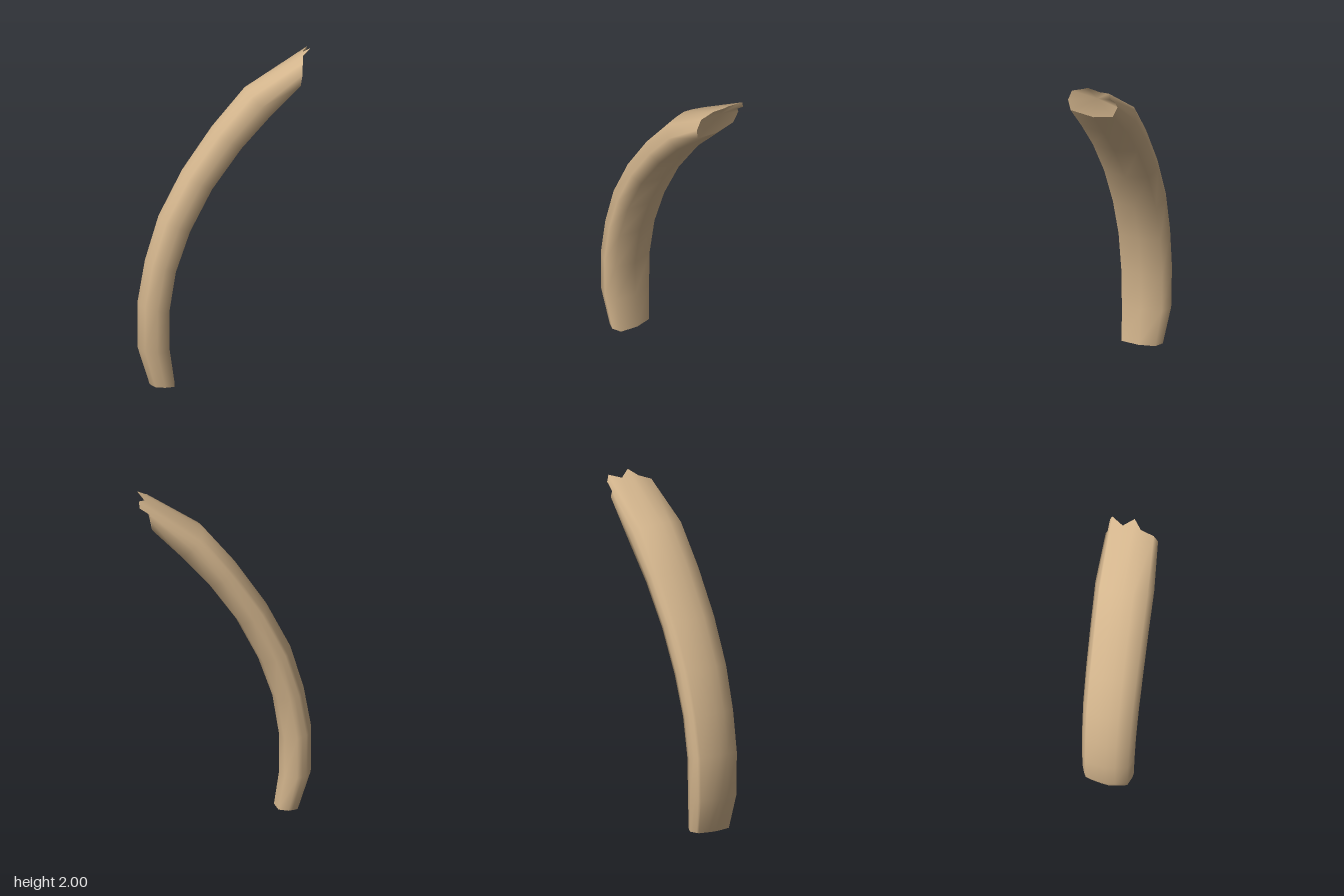
import * as THREE from 'three';

// Shaft stations: outer x, y, inner x, y, half width, z shift
const STATIONS = [
  [-0.45, 0, -0.30, 0, 0.13, 0.01],
  [-0.52, 0.22, -0.33, 0.21, 0.154, 0.002],
  [-0.52, 0.49, -0.33, 0.44, 0.158, 0.002],
  [-0.475, 0.74, -0.29, 0.69, 0.162, 0],
  [-0.395, 1.0, -0.205, 0.93, 0.167, -0.002],
  [-0.255, 1.27, -0.075, 1.18, 0.171, -0.002],
  [-0.075, 1.53, 0.10, 1.42, 0.174, -0.002],
  [0.125, 1.765, 0.27, 1.605, 0.177, -0.002],
];

// Cross-section: share of half width, share of the way from outer to inner side
const SECTION = [
  [1, 0.5], [0.82, 0.13], [0.35, 0.04], [0, 0], [-0.36, 0.04], [-0.8, 0.12],
  [-0.86, 0.2], [-0.93, 0.33], [-1, 0.5], [-0.8, 0.88], [0, 1], [0.85, 0.88],
];

// Splintered rim at the broken end, matching the section point by point
const RIM = [
  [0.445, 1.87, 0.157], [0.45, 1.935, 0.13], [0.465, 1.965, 0.05], [0.515, 2.0, 0.005],
  [0.475, 1.965, -0.06], [0.515, 1.985, -0.13], [0.51, 1.945, -0.142], [0.45, 1.905, -0.145],
  [0.445, 1.87, -0.158], [0.435, 1.80, -0.125], [0.43, 1.775, 0], [0.435, 1.80, 0.145],
];

function makeGeometry(points, index) {
  const g = new THREE.BufferGeometry();
  g.setAttribute('position', new THREE.Float32BufferAttribute(points.flat(), 3));
  g.setIndex(index);
  g.computeVertexNormals();
  return g;
}

// Fan that closes a ring around a centre point
function makeCap(ring, centre, up) {
  const n = ring.length, index = [];
  for (let j = 0; j < n; j++) {
    const k = (j + 1) % n;
    index.push(n, up ? k : j, up ? j : k);
  }
  return makeGeometry([...ring, centre], index);
}

export function createModel() {
  const group = new THREE.Group();
  group.name = 'curvedBone';
  const bone = new THREE.MeshStandardMaterial({ color: 0xd2b48c });
  bone.name = 'tan bone';

  const rings = STATIONS.map(([ox, oy, ix, iy, w, dz]) =>
    SECTION.map(([u, t]) => [ox + (ix - ox) * t, oy + (iy - oy) * t, u * w + dz]));
  rings.push(RIM);

  // Smooth skin between neighbouring rings
  const n = SECTION.length, index = [];
  for (let i = 0; i < rings.length - 1; i++) {
    for (let j = 0; j < n; j++) {
      const k = (j + 1) % n;
      const a = i * n + j, b = i * n + k, c = a + n, d = b + n;
      index.push(a, c, b, b, c, d);
    }
  }

  const add = (name, geometry) => {
    const mesh = new THREE.Mesh(geometry, bone);
    mesh.name = name;
    group.add(mesh);
  };
  add('shaft', makeGeometry(rings.flat(), index));
  add('baseCap', makeCap(rings[0], [-0.375, 0, 0.01], false));
  add('brokenEnd', makeCap(RIM, [0.44, 1.905, -0.03], true));
  return group;
}
